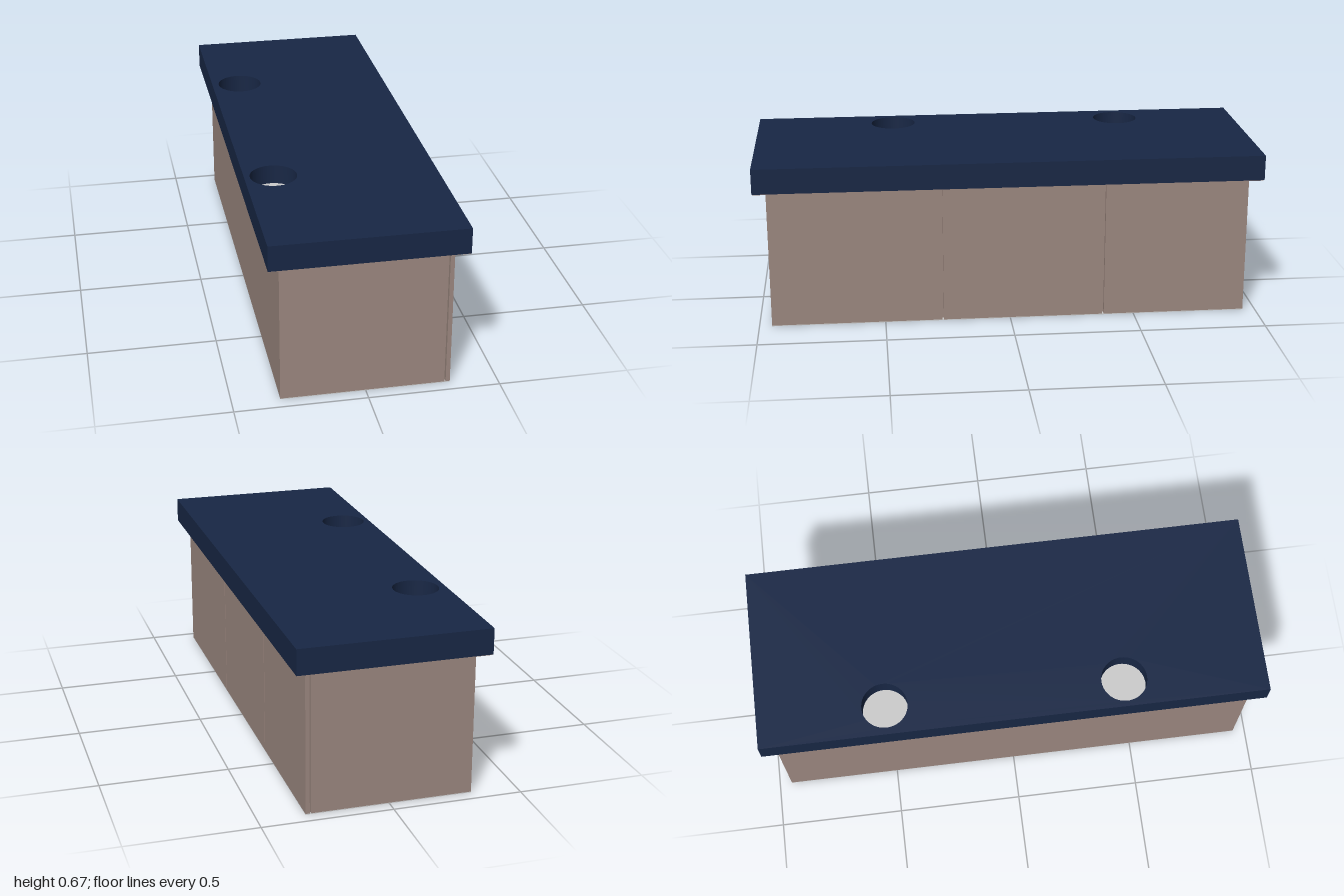
import * as THREE from 'three';

const mat = (color) => new THREE.MeshStandardMaterial({ color });

export function createModel() {
  const group = new THREE.Group();
  const navy = mat(0x182745), wood = mat(0x9c8880), grey = mat(0xcccccc);

  // Box given by its minimum and maximum corners
  const box = (name, material, [x0, y0, z0], [x1, y1, z1]) => {
    const mesh = new THREE.Mesh(new THREE.BoxGeometry(x1 - x0, y1 - y0, z1 - z0), material);
    mesh.position.set((x0 + x1) / 2, (y0 + y1) / 2, (z0 + z1) / 2);
    mesh.name = name;
    group.add(mesh);
  };

  const holes = [[-0.25, -0.5], [-0.255, 0.44]], holeRadius = 0.09;
  const topX = 0.367, topY = 0.665, underY = 0.565;

  // Cabinet body on a grey base plate
  box('basePlate', grey, [-0.321, 0, -0.95], [0.321, 0.003, 0.95]);
  box('cabinetBody', wood, [-0.321, 0.003, -0.95], [0.3, underY, 0.95]);

  // Three doors along the left side, with narrow gaps between them
  const seams = [-0.95, -0.376, 0.27, 0.95], gap = 0.003;
  for (let i = 0; i < 3; i++) {
    const z0 = seams[i] + (i > 0 ? gap : 0);
    const z1 = seams[i + 1] - (i < 2 ? gap : 0);
    box('door', wood, [0.305, 0.003, z0], [0.321, 0.56, z1]);
  }

  // Countertop slab with two round holes
  const slab = new THREE.Shape([
    new THREE.Vector2(-topX, -1), new THREE.Vector2(topX, -1),
    new THREE.Vector2(topX, 1), new THREE.Vector2(-topX, 1),
  ]);
  for (const [x, z] of holes) {
    slab.holes.push(new THREE.Path().absarc(x, -z, holeRadius, 0, Math.PI * 2, true));
  }
  const slabGeometry = new THREE.ExtrudeGeometry(slab, {
    depth: topY - underY, bevelEnabled: false, curveSegments: 32,
  });
  slabGeometry.rotateX(-Math.PI / 2);
  const countertop = new THREE.Mesh(slabGeometry, navy);
  countertop.position.y = underY;
  countertop.name = 'countertop';
  group.add(countertop);

  // Brown board under the countertop
  box('underBoard', wood, [-0.364, 0.562, -0.997], [0.364, underY, 0.997]);

  // Grey floors inside the holes
  for (const [x, z] of holes) {
    const floor = new THREE.Mesh(new THREE.CylinderGeometry(holeRadius, holeRadius, 0.025, 64), grey);
    floor.position.set(x, underY + 0.0125, z);
    floor.name = 'holeFloor';
    group.add(floor);
  }
  return group;
}
